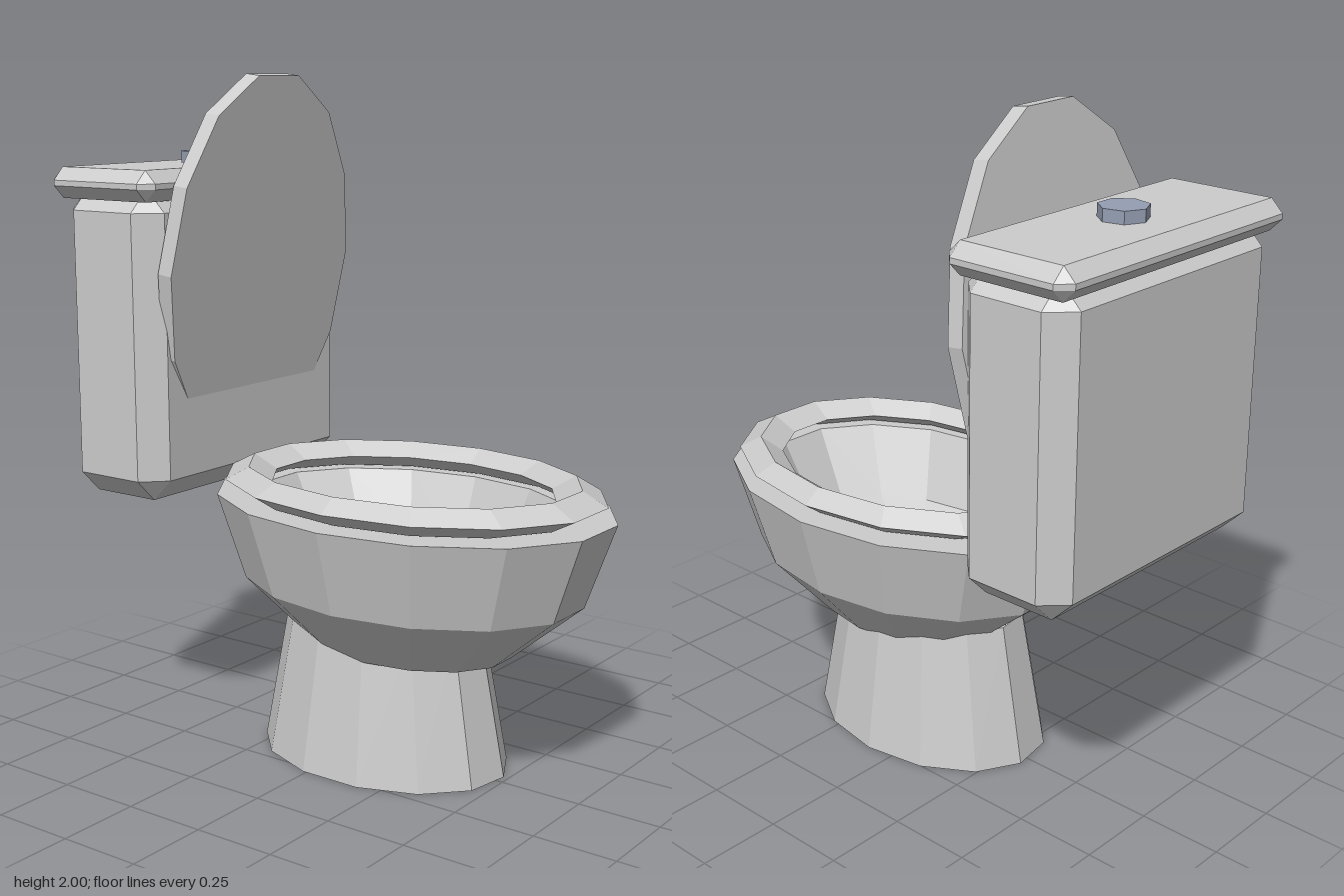
import * as THREE from 'three';
import { ConvexGeometry } from 'three/addons/geometries/ConvexGeometry.js';

const SIDES = 14;       // facets round the oval parts
const STRETCH = 1.41;   // ovals are longer front to back
const BOWL_Z = 0.175;
const START = Math.PI / 2; // puts a corner of each ring on +x

const material = (color) => new THREE.MeshStandardMaterial({ color, flatShading: true });

// Box with a single chamfer of width c on every edge
function chamferBox(w, h, d, c) {
  const points = [];
  for (const sx of [-1, 1]) for (const sy of [-1, 1]) for (const sz of [-1, 1]) {
    const x = w / 2, y = h / 2, z = d / 2;
    points.push(
      new THREE.Vector3(sx * x, sy * (y - c), sz * (z - c)),
      new THREE.Vector3(sx * (x - c), sy * y, sz * (z - c)),
      new THREE.Vector3(sx * (x - c), sy * (y - c), sz * z));
  }
  return new ConvexGeometry(points);
}

export function createModel() {
  const group = new THREE.Group();
  const ceramic = material(0xcccccc);

  function add(name, geometry, x, y, z, mat = ceramic) {
    const mesh = new THREE.Mesh(geometry, mat);
    mesh.name = name;
    mesh.position.set(x, y, z);
    group.add(mesh);
    return mesh;
  }

  // Tapered pedestal, its top hidden in the bowl
  const pedestal = new THREE.CylinderGeometry(0.226, 0.285, 0.43, 13, 1, false, START);
  add('pedestal', pedestal.scale(1, 1, STRETCH), 0, 0.215, 0.085);

  // Bowl: outside from the base up, over the rim, then down the inside
  const profile = [
    [0, 0.36], [0.23, 0.36], [0.385, 0.54], [0.45, 0.79],
    [0.35, 0.79], [0.268, 0.58], [0.133, 0.5], [0, 0.49],
  ].map(([r, y]) => new THREE.Vector2(r, y));
  const bowl = new THREE.LatheGeometry(profile, SIDES, START);
  add('bowl', bowl.scale(1, 1, STRETCH), 0, 0, BOWL_Z);

  // Water surface
  const water = new THREE.CircleGeometry(0.133, SIDES).rotateX(-Math.PI / 2);
  add('water', water.scale(1, 1, STRETCH), 0, 0.502, BOWL_Z, material(0x66a3c0));

  // Seat ring with a diamond section
  const seat = new THREE.TorusGeometry(0.375, 0.055, 4, SIDES).rotateX(Math.PI / 2);
  add('seat', seat.scale(1, 0.73, STRETCH), 0, 0.835, BOWL_Z);

  // Raised lid leaning back, its lower end sunk into the tank
  const lid = new THREE.CylinderGeometry(1, 1, 0.05, SIDES, 1, false, START).rotateX(Math.PI / 2);
  add('lid', lid.scale(0.41, 0.575, 1), 0, 1.44, -0.39).rotation.x = 0.121;

  // Tank, tank cover and flush button
  add('tank', chamferBox(0.9, 0.91, 0.36, 0.067), 0, 1.225, -0.59);
  add('tankCover', chamferBox(0.945, 0.09, 0.4, 0.037), 0, 1.69, -0.593);
  const button = new THREE.CylinderGeometry(0.07, 0.07, 0.06, 7, 1, false, Math.PI);
  add('flushButton', button, 0, 1.74, -0.595, material(0x959fb3));

  return group;
}
